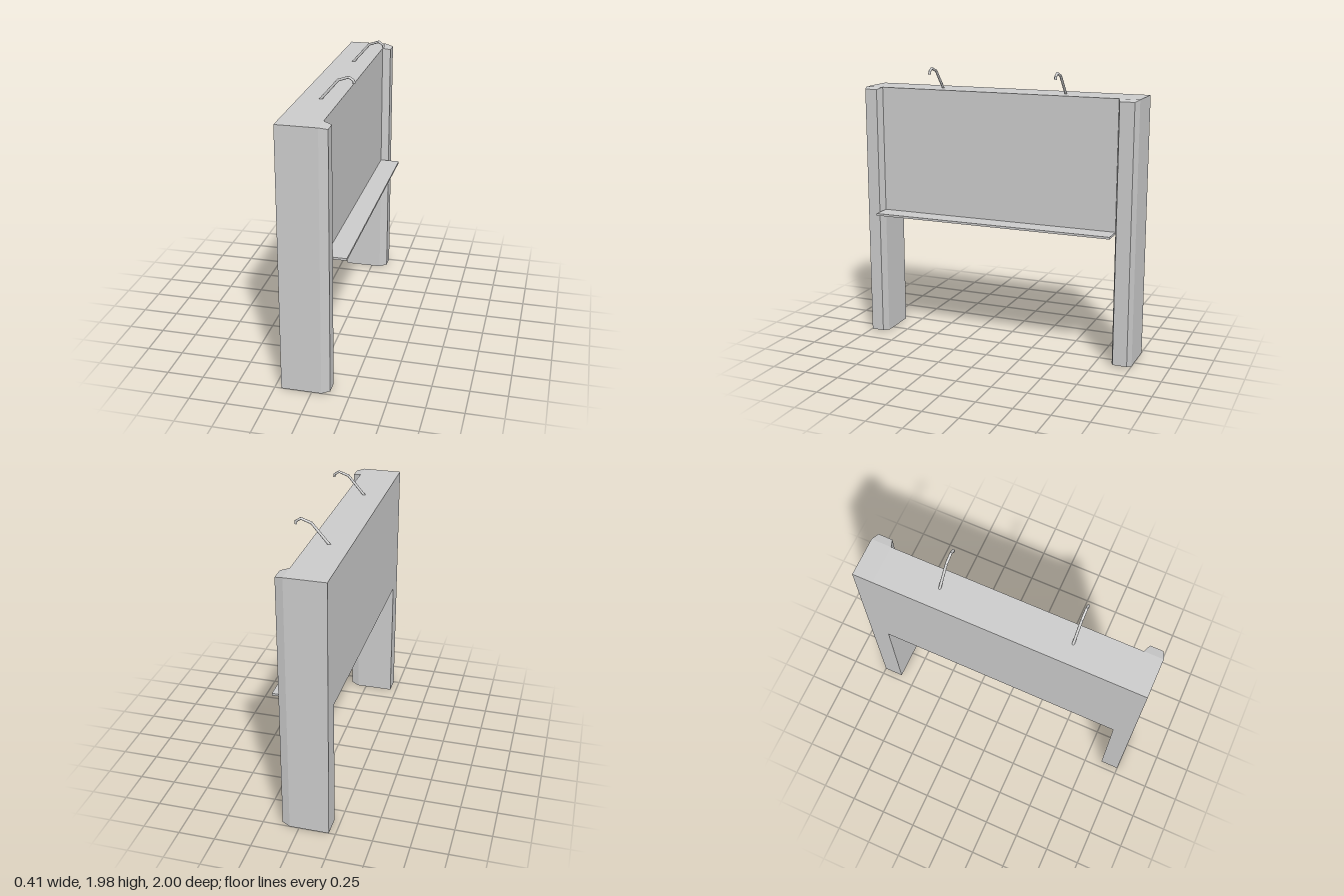
import * as THREE from 'three';

const BACK = -0.205, FACE = 0.065, POST_FRONT = 0.12, TOP = 1.82, SHELF_Y = 0.915;
const INNER_LEFT = 0.87, INNER_RIGHT = -0.86;
const material = new THREE.MeshStandardMaterial({ color: 0xcccccc, flatShading: true });

// Box given by its minimum and maximum corners
function box(name, x0, x1, y0, y1, z0, z1) {
  const geometry = new THREE.BoxGeometry(x1 - x0, y1 - y0, z1 - z0);
  geometry.translate((x0 + x1) / 2, (y0 + y1) / 2, (z0 + z1) / 2);
  const mesh = new THREE.Mesh(geometry, material);
  mesh.name = name;
  return mesh;
}

// Upright post whose front narrows on all four sides
function post(name, z0, z1) {
  const geometry = new THREE.BoxGeometry(1, TOP, z1 - z0, 2, 1, 1);
  const p = geometry.attributes.position;
  for (let i = 0; i < p.count; i++) {
    const x = p.getX(i), y = p.getY(i), z = p.getZ(i);
    p.setX(i, x < -0.1 ? BACK : x < 0.1 ? FACE : POST_FRONT);
    if (x > 0.1) {
      p.setY(i, y - Math.sign(y) * 0.012);
      p.setZ(i, z - Math.sign(z) * 0.02);
    }
  }
  geometry.translate(0, TOP / 2, (z0 + z1) / 2);
  const mesh = new THREE.Mesh(geometry, material);
  mesh.name = name;
  return mesh;
}

// Bent path with straight runs; corners get the averaged direction
class BentPath extends THREE.Curve {
  constructor(points) {
    super();
    this.points = points;
  }
  getPointAt(t) {
    return this.points[Math.round(t * (this.points.length - 1))].clone();
  }
  getTangentAt(t) {
    const pts = this.points, n = pts.length - 1, i = Math.round(t * n);
    const dir = (a) => pts[a + 1].clone().sub(pts[a]).normalize();
    return dir(Math.max(i - 1, 0)).add(dir(Math.min(i, n - 1))).normalize();
  }
}

// Thin bent rod rising from the top and curling over the front
function hook(name, z) {
  const points = [[-0.078, 1.802], [0.05, 1.95], [0.118, 1.973], [0.15, 1.952], [0.152, 1.934]]
    .map(([x, y]) => new THREE.Vector3(x, y, z));
  const section = new THREE.Shape().absarc(0, 0, 0.009, 0, Math.PI * 2);
  const geometry = new THREE.ExtrudeGeometry(section, {
    steps: points.length - 1, curveSegments: 8, extrudePath: new BentPath(points),
  });
  const mesh = new THREE.Mesh(geometry, material);
  mesh.name = name;
  return mesh;
}

export function createModel() {
  const group = new THREE.Group();
  group.name = 'panelStand';
  group.add(
    post('leftPost', INNER_LEFT, 1),
    post('rightPost', -1, INNER_RIGHT),
    box('panel', BACK, FACE, SHELF_Y, TOP, INNER_RIGHT, INNER_LEFT),
    box('shelf', FACE, 0.205, SHELF_Y, SHELF_Y + 0.015, INNER_RIGHT, INNER_LEFT),
    hook('leftHook', 0.455),
    hook('rightHook', -0.455),
  );
  return group;
}
